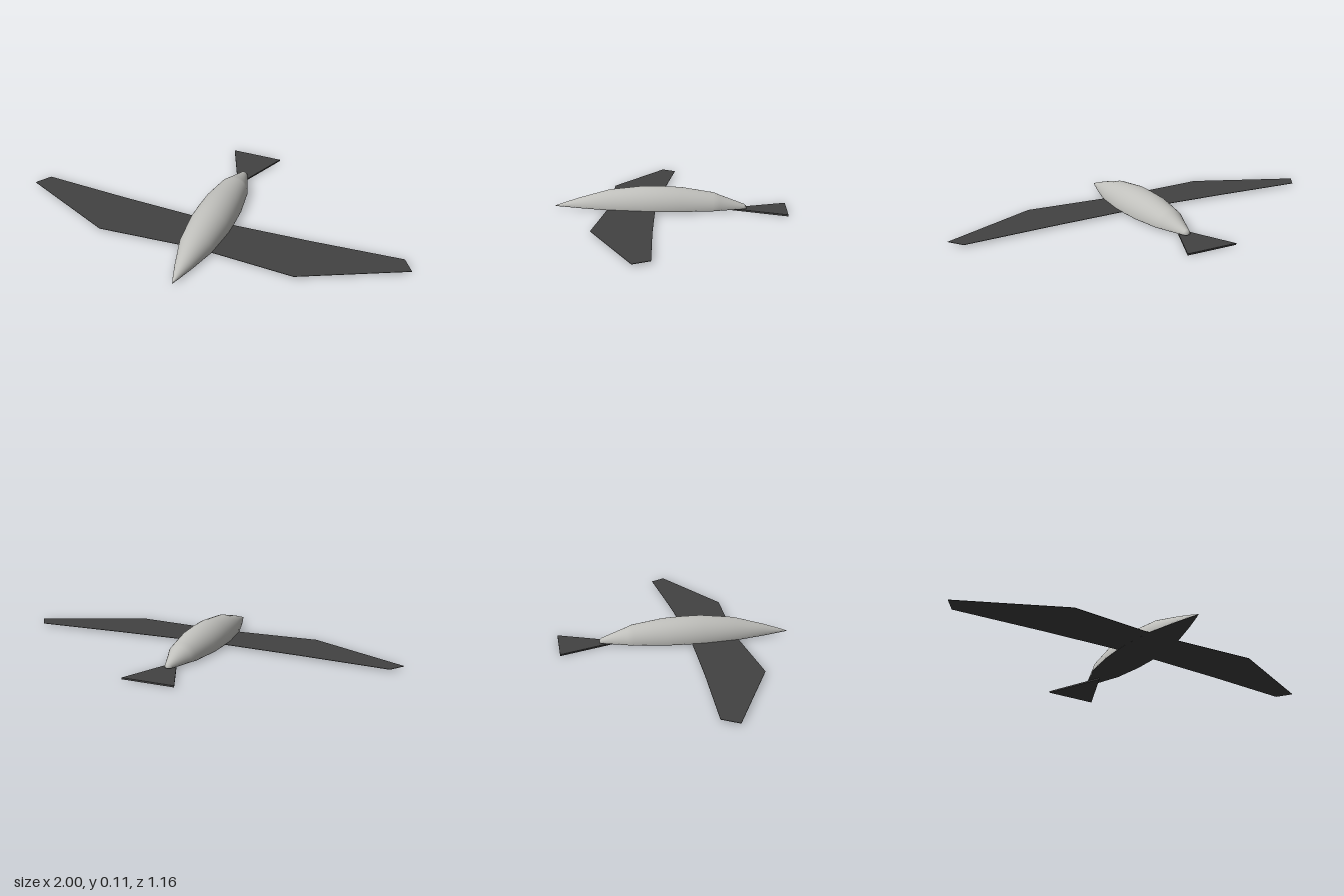
import * as THREE from 'three';

export function createModel() {
  const group = new THREE.Group();
  const paleGrey = new THREE.MeshStandardMaterial({ color: 0xc0c0bc });
  const charcoal = new THREE.MeshStandardMaterial({ color: 0x424242 });

  const add = (name, geometry, material, y) => {
    const mesh = new THREE.Mesh(geometry, material);
    mesh.name = name;
    mesh.position.y = y;
    group.add(mesh);
  };

  // Horizontal plate from an [x, z] outline, with its top at y = 0
  const plate = (outline, depth) => {
    const shape = new THREE.Shape(outline.map(([x, z]) => new THREE.Vector2(x, z)));
    return new THREE.ExtrudeGeometry(shape, { depth, bevelEnabled: false }).rotateX(Math.PI / 2);
  };

  // Half-round body, [radius, z] from tail to beak
  const profile = [
    [0, -0.385], [0.012, -0.383], [0.02, -0.372], [0.064, -0.25], [0.076, -0.22],
    [0.1, -0.06], [0.104, 0.04], [0.104, 0.13], [0.085, 0.3], [0.043, 0.45],
    [0.012, 0.545], [0, 0.577],
  ];
  const body = new THREE.LatheGeometry(
    profile.map(([r, z]) => new THREE.Vector2(r, z)), 24, Math.PI / 2, Math.PI);
  add('body', body.rotateX(Math.PI / 2), paleGrey, 0.01);

  // Flat dark belly closing the body
  const side = profile.slice(1, -1);
  const belly = [
    ...profile,
    ...side.reverse().map(([r, z]) => [-r, z]),
  ];
  add('belly', plate(belly, 0.002), charcoal, 0.0098);

  // Swept wings, mirrored
  const wing = [[0, 0.07], [0.1, 0.065], [0.5, 0.048], [0.95, 0.02],
    [1, 0.095], [0.5, 0.33], [0.1, 0.305], [0, 0.3]];
  for (const s of [1, -1]) {
    add(s > 0 ? 'leftWing' : 'rightWing',
      plate(wing.map(([x, z]) => [s * x, z]), 0.002), charcoal, 0.01);
  }

  // Fan tail
  add('tail', plate([[0, -0.28], [0.132, -0.585], [-0.132, -0.585]], 0.008), charcoal, 0.008);

  return group;
}
